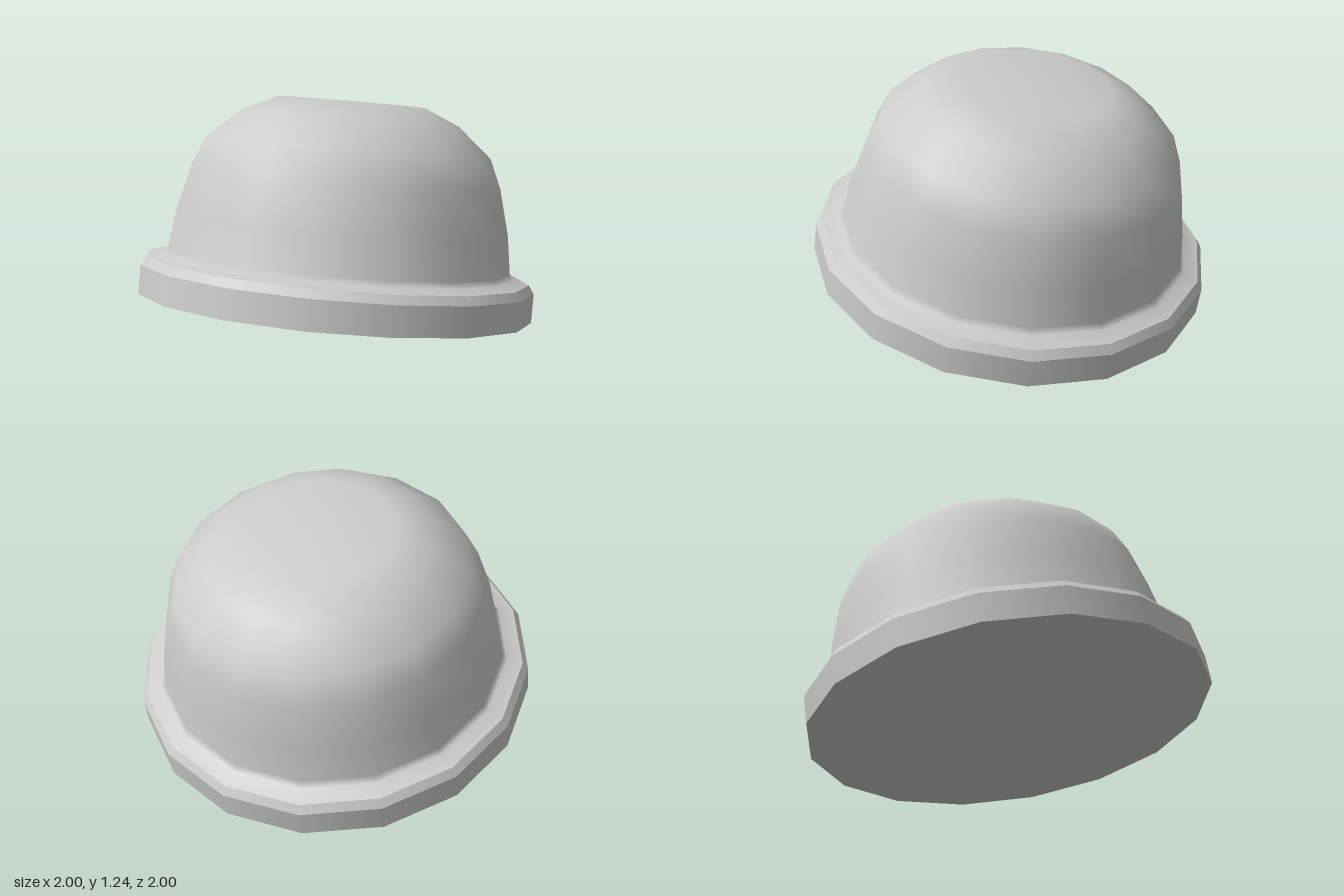
import * as THREE from 'three';

const SIDES = 16;
const material = new THREE.MeshStandardMaterial({ color: 0xcccccc });

// Revolve a bottom-to-top [radius, height] profile around y
function revolve(name, profile) {
  const points = profile.map(([r, h]) => new THREE.Vector2(r, h));
  const mesh = new THREE.Mesh(new THREE.LatheGeometry(points, SIDES), material);
  mesh.name = name;
  return mesh;
}

export function createModel() {
  const model = new THREE.Group();
  model.name = 'tiltedDome';

  // Separate profiles keep the edges of the rim sharp
  model.add(
    revolve('baseUnderside', [[0, 0], [1, 0]]),
    revolve('rimBand', [[1, 0], [1, 0.145]]),
    revolve('rimBevel', [[1, 0.145], [0.972, 0.187]]),
    // Rim top curves smoothly up into the dome
    revolve('dome', [
      [0.972, 0.187], [0.893, 0.207], [0.872, 0.235], [0.845, 0.424],
      [0.787, 0.652], [0.725, 0.8], [0.553, 0.948], [0.376, 1.027], [0, 1.029],
    ]),
  );

  // The whole piece leans back, its front edge raised
  model.rotation.x = -0.168;
  model.position.set(0, 0.17, 0.0125);

  const root = new THREE.Group();
  root.add(model);
  return root;
}
